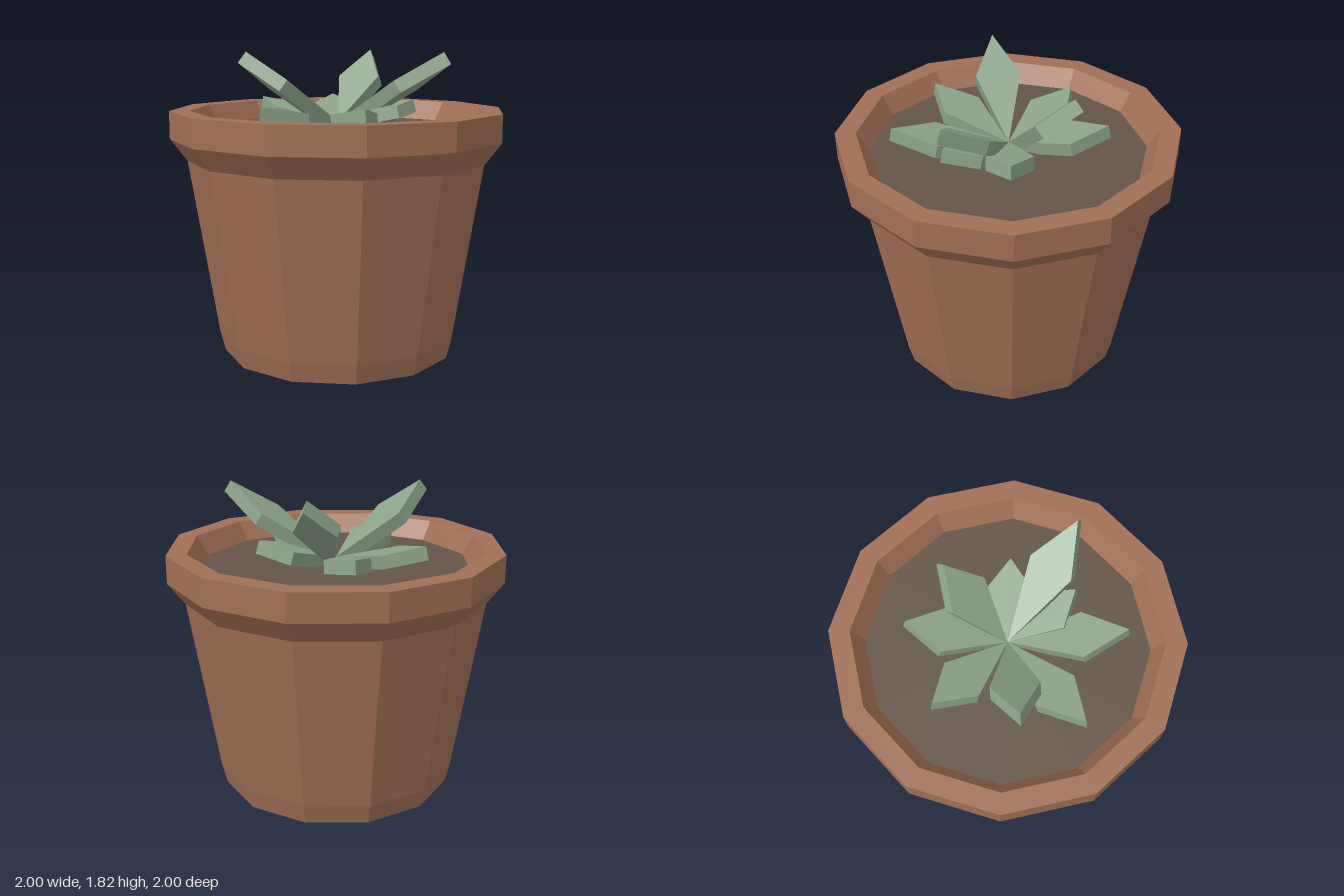
import * as THREE from 'three';

const terracotta = new THREE.MeshStandardMaterial({ color: 0xa06f55 });
terracotta.name = 'terracotta';
const earth = new THREE.MeshStandardMaterial({ color: 0x635548 });
earth.name = 'earth';
const leafGreen = new THREE.MeshStandardMaterial({ color: 0x8aa287 });
leafGreen.name = 'leafGreen';

const SIDES = 12;
const LEAF_THICKNESS = 0.08;
const LEAF_HALF_WIDTH = 0.135;
const HEART = new THREE.Vector3(0, 1.4, 0); // where all leaves meet

function flat(geometry) {
  const g = geometry.index ? geometry.toNonIndexed() : geometry;
  g.computeVertexNormals();
  return g;
}

function part(name, geometry, material) {
  const mesh = new THREE.Mesh(geometry, material);
  mesh.name = name;
  return mesh;
}

// Thick kite-shaped leaf from the heart to the given upper tip
function makeLeaf(name, x, y, z) {
  const dir = new THREE.Vector3(x, y, z).sub(HEART);
  const length = dir.length();
  dir.normalize();
  const side = new THREE.Vector3(0, 1, 0).cross(dir).normalize();
  const normal = dir.clone().cross(side);

  const kite = new THREE.Shape([
    new THREE.Vector2(0, 0),
    new THREE.Vector2(length * 0.62, -LEAF_HALF_WIDTH),
    new THREE.Vector2(length, 0),
    new THREE.Vector2(length * 0.62, LEAF_HALF_WIDTH),
  ]);
  const geometry = new THREE.ExtrudeGeometry(kite, { depth: LEAF_THICKNESS, bevelEnabled: false });
  geometry.translate(0, 0, -LEAF_THICKNESS);
  geometry.applyMatrix4(new THREE.Matrix4().makeBasis(dir, side, normal).setPosition(HEART));
  return part(name, flat(geometry), leafGreen);
}

export function createModel() {
  const model = new THREE.Group();
  model.name = 'pottedSucculent';

  // Pot: base, tapered wall, flared rim and inner lip down to the soil
  const profile = [
    [0, 0], [0.7, 0], [0.73, 0.12], [0.9, 1.18], [1, 1.31],
    [1, 1.475], [0.88, 1.475], [0.81, 1.36],
  ].map(([r, y]) => new THREE.Vector2(r, y));
  model.add(part('pot', flat(new THREE.LatheGeometry(profile, SIDES)), terracotta));

  // Soil surface
  const soil = new THREE.CircleGeometry(0.812, SIDES);
  soil.rotateX(-Math.PI / 2);
  soil.translate(0, 1.36, 0);
  model.add(part('soil', soil, earth));

  // Low outer leaves and raised inner leaves, by tip x and z
  const leaves = new THREE.Group();
  leaves.name = 'leaves';
  const outer = [
    [0.05, -0.57], [-0.42, -0.39], [-0.49, 0.44],
    [0.05, 0.67], [0.28, 0.37], [0.46, 0],
  ];
  const inner = [[-0.55, 0.085], [0.555, 0.36], [0.26, -0.35]];
  outer.forEach(([x, z], i) => leaves.add(makeLeaf(`outerLeaf${i + 1}`, x, 1.53, z)));
  inner.forEach(([x, z], i) => leaves.add(makeLeaf(`innerLeaf${i + 1}`, x, 1.82, z)));
  model.add(leaves);

  return model;
}
